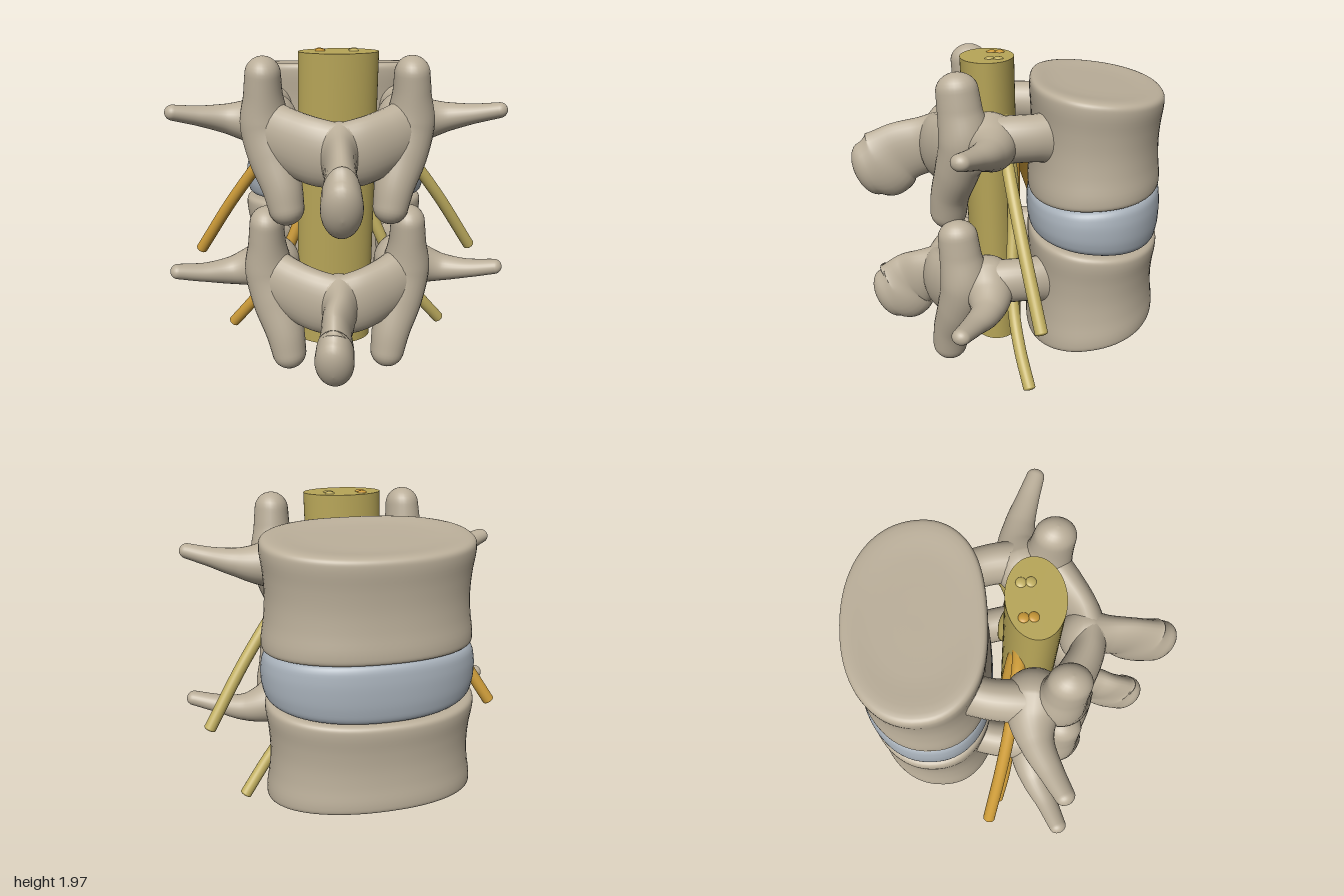
import * as THREE from 'three';

const mat = (name, color) => {
  const m = new THREE.MeshStandardMaterial({ color });
  m.name = name;
  return m;
};

// Closed-loop skin over a list of rings that all have the same point count.
function skin(rings, flip = false) {
  const n = rings[0].length, pos = [], idx = [];
  rings.forEach(r => r.forEach(p => pos.push(p.x, p.y, p.z)));
  for (let i = 0; i < rings.length - 1; i++) {
    for (let j = 0; j < n; j++) {
      const k = (j + 1) % n;
      const a = i * n + j, b = i * n + k, c = a + n, d = b + n;
      if (flip) idx.push(a, c, b, b, c, d);
      else idx.push(a, b, c, b, d, c);
    }
  }
  const g = new THREE.BufferGeometry();
  g.setAttribute('position', new THREE.Float32BufferAttribute(pos, 3));
  g.setIndex(idx);
  g.computeVertexNormals();
  return g;
}

// Tapering limb with domed ends; each row is x, y, z, half width, half height.
function limb(rows, { up = new THREE.Vector3(0, 1, 0), dome = 1, side = 1 } = {}) {
  const path = new THREE.CatmullRomCurve3(rows.map(r => new THREE.Vector3(r[0] * side, r[1], r[2])));
  const size = new THREE.CatmullRomCurve3(rows.map(r => new THREE.Vector3(r[3], r[4], 0)));
  const steps = rows.length * 6, capSteps = 8, n = 28, rings = [];
  const ring = (t, scale, push) => {
    const T = path.getTangent(t), s = size.getPoint(t);
    const U = up.clone().addScaledVector(T, -up.dot(T)).normalize();
    const S = U.clone().cross(T);
    const c = path.getPoint(t).addScaledVector(T, push * dome * Math.min(s.x, s.y));
    rings.push(Array.from({ length: n }, (_, j) => {
      const a = j / n * Math.PI * 2;
      return c.clone().addScaledVector(S, Math.cos(a) * s.x * scale).addScaledVector(U, Math.sin(a) * s.y * scale);
    }));
  };
  for (let k = 0; k < capSteps; k++) {
    const a = Math.PI / 2 * (1 - k / capSteps);
    ring(0, Math.cos(a), -Math.sin(a));
  }
  for (let i = 0; i <= steps; i++) ring(i / steps, 1, 0);
  for (let k = 1; k <= capSteps; k++) {
    const a = Math.PI / 2 * k / capSteps;
    ring(1, Math.cos(a), Math.sin(a));
  }
  return skin(rings);
}

// Kidney-like block; profile rows are radius and height fraction, and the
// bottom and top heights run from the far (-z) edge to the near (+z) edge.
function block(profile, bottom, top, size) {
  const n = 72, soft = v => Math.sign(v) * Math.abs(v) ** 0.92;
  const curve = new THREE.CatmullRomCurve3(profile.map(([r, f]) => new THREE.Vector3(r, f, 0)), false, 'centripetal');
  const rings = curve.getPoints(profile.length * 4).map(({ x: r, y: f }) =>
    Array.from({ length: n }, (_, j) => {
      const a = j / n * Math.PI * 2, s = Math.sin(a);
      const notch = s > 0 ? 0.92 - 0.05 * s ** 6 : 1;
      const x = soft(Math.cos(a)) * 0.605 * r, z = soft(s) * 0.435 * r * notch;
      const t = z / 0.87 + 0.5;
      const lo = THREE.MathUtils.lerp(bottom[0], bottom[1], t);
      const hi = THREE.MathUtils.lerp(top[0], top[1], t);
      return new THREE.Vector3(x * size, lo + (hi - lo) * f, z * size);
    }));
  return skin(rings, true);
}

const BODY = [[0, 0.03], [0.6, 0.02], [0.93, 0], [0.99, 0.02], [1, 0.1], [0.97, 0.3], [0.955, 0.5],
  [0.965, 0.7], [0.99, 0.9], [0.98, 0.97], [0.93, 1], [0.6, 0.985], [0, 0.98]];
const DISC = [[0, 0], [0.92, 0], [0.98, 0.06], [1.015, 0.25], [1.025, 0.5], [1.015, 0.75], [0.98, 0.94], [0.92, 1], [0, 1]];

export function createModel() {
  const bone = mat('bone', 0xbaae99);
  const discGrey = mat('disc grey', 0xa6afb8);
  const cordGold = mat('cord gold', 0xb8a658);
  const nerveOrange = mat('nerve orange', 0xcb9a38);
  const nerveYellow = mat('nerve yellow', 0xc1af60);

  const model = new THREE.Group();
  model.name = 'spineSegment';
  const spine = new THREE.Group();
  spine.name = 'turnedSpine';
  spine.rotation.y = 0.471;
  spine.position.set(-0.05, 0, 0.025);
  model.add(spine);

  const add = (parent, name, geometry, material) => {
    const m = new THREE.Mesh(geometry, material);
    m.name = name;
    parent.add(m);
    return m;
  };

  // Vertebral bodies and the disc between them
  add(spine, 'upperBody', block(BODY, [1.225, 1.17], [1.79, 1.87], 1.01), bone).position.set(0.01, 0, -0.498);
  add(spine, 'lowerBody', block(BODY, [0.34, 0.18], [0.875, 0.93], 1.035), bone).position.set(-0.008, 0, -0.508);
  add(spine, 'disc', block(DISC, [0.88, 0.95], [1.23, 1.165], 1.01), discGrey).position.set(0.005, 0, -0.503);

  // Rear arch with its spurs: tall sets its height, drop and reach move the
  // side spur tips, trim shortens the rear spine
  const zUp = new THREE.Vector3(0, 0, 1);
  function rearArch(name, { tall, drop, reach, trim }) {
    const g = new THREE.Group();
    g.name = name;
    spine.add(g);
    const part = (label, rows, options) => add(g, label,
      limb(rows.map(([x, y, z, w, h]) => [x, y * tall, z, w, h]), options), bone);
    for (const side of [1, -1]) {
      const label = side > 0 ? 'left' : 'right';
      part(label + 'Pedicle', [
        [0.35, 1.57, -0.3, 0.12, 0.17], [0.405, 1.575, -0.15, 0.115, 0.14],
        [0.43, 1.57, 0.02, 0.12, 0.14], [0.43, 1.54, 0.2, 0.135, 0.16]], { side, dome: 0.6 });
      part(label + 'JointPillar', [
        [0.432, 1.855, 0.283, 0.105, 0.122], [0.435, 1.74, 0.27, 0.115, 0.13],
        [0.43, 1.56, 0.25, 0.15, 0.15], [0.39, 1.38, 0.295, 0.145, 0.135],
        [0.335, 1.2, 0.35, 0.122, 0.118], [0.312, 1.075, 0.367, 0.108, 0.112]], { side, up: zUp });
      part(label + 'SideSpur', [
        [0.42, 1.55, 0.11, 0.18, 0.18], [0.55, 1.55 - drop * 0.4, 0.09, 0.135, 0.13],
        [0.68, 1.565 - drop * 0.8, 0.105, 0.095, 0.09], [0.84, 1.595 - drop, 0.165, 0.07, 0.06],
        [0.975 + reach, 1.625 - drop, 0.222, 0.055, 0.047]], { side });
      part(label + 'Lamina', [
        [0.42, 1.52, 0.25, 0.13, 0.19], [0.28, 1.47, 0.355, 0.115, 0.195],
        [0.13, 1.43, 0.44, 0.105, 0.2], [-0.02, 1.41, 0.48, 0.105, 0.19]], { side });
    }
    part('rearSpine', [
      [0, 1.415, 0.44, 0.16, 0.2], [0, 1.39, 0.57, 0.1, 0.185], [-0.2 * trim, 1.345, 0.7 - trim * 0.5, 0.09, 0.2],
      [-0.3 * trim, 1.27, 0.81 - trim * 0.9, 0.108, 0.23], [-0.4 * trim, 1.235, 0.9 - trim, 0.115, 0.185]], { dome: 0.9 });
    return g;
  }
  rearArch('upperRearArch', { tall: 1, drop: 0, reach: 0, trim: 0 });
  rearArch('lowerRearArch', { tall: 1.07, drop: 0.085, reach: 0.03, trim: 0.09 }).position.set(-0.005, -1.03, 0.02);

  // Oval cord, leaning slightly along its length
  const cord = new THREE.CylinderGeometry(1, 1, 1.88, 56);
  cord.applyMatrix4(new THREE.Matrix4().set(
    0.24, 0.021, 0, -0.01,
    0, 1, 0, 1.03,
    0, 0.028, 0.165, 0.112,
    0, 0, 0, 1));
  add(spine, 'spinalCord', cord, cordGold);

  // Nerve roots run down the cord and leave below each pedicle
  const roots = {
    UpperNerve: [[0.1, 1.97, 0.065], [0.12, 1.72, 0.06], [0.23, 1.5, 0.03], [0.4, 1.36, -0.005],
      [0.66, 1.02, -0.09], [0.925, 0.6, -0.2]],
    LowerNerve: [[0.1, 1.97, 0.12], [0.12, 1.6, 0.05], [0.17, 1.3, -0.015], [0.2, 1, -0.03],
      [0.3, 0.72, -0.025], [0.42, 0.46, -0.035], [0.58, 0.25, -0.08], [0.72, 0.07, -0.14]],
  };
  for (const [name, points] of Object.entries(roots)) {
    const rows = points.map(([x, y, z], i) => {
      const r = i === 0 ? 0.03 : 0.038;
      return [x, y, z, r, r];
    });
    for (const side of [1, -1]) {
      add(spine, (side > 0 ? 'left' : 'right') + name,
        limb(rows, { side, up: zUp, dome: 0.4 }), side > 0 ? nerveYellow : nerveOrange);
    }
  }
  return model;
}
